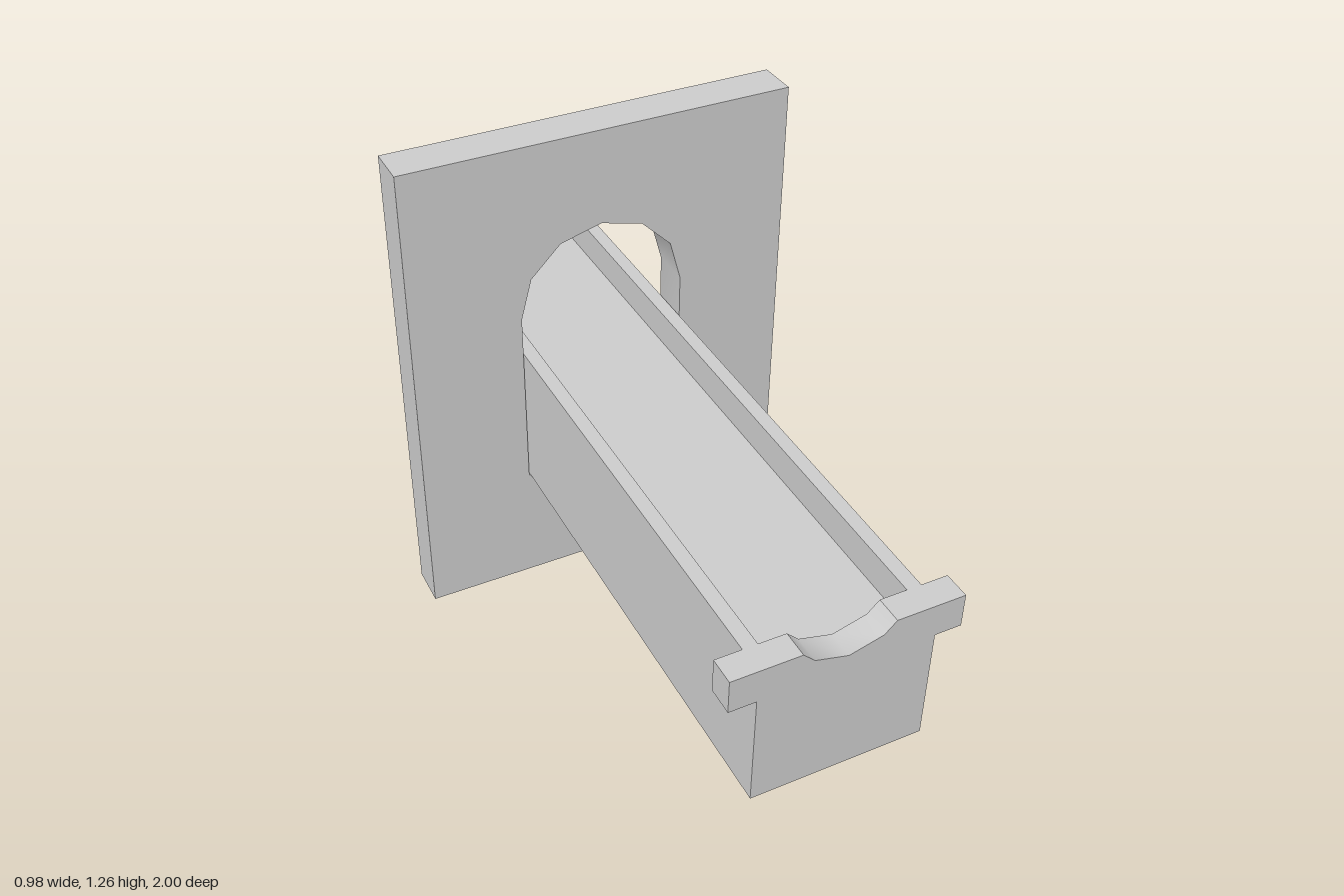
import * as THREE from 'three';
import { toCreasedNormals } from 'three/addons/utils/BufferGeometryUtils.js';

const material = new THREE.MeshStandardMaterial({ color: 0xcccccc, side: THREE.DoubleSide });

const HALF = 0.208, INNER = 0.173;            // channel half widths
const BOTTOM = 0.32, TRAY = 0.61, TOP = 0.695; // channel heights
const BACK = -1, LIP = 0.935, FRONT = 1;       // channel depths

function add(group, name, geometry) {
  const mesh = new THREE.Mesh(geometry, material);
  mesh.name = name;
  group.add(mesh);
}

// Extrude a front-facing shape between two depths
function slab(shape, z0, z1) {
  const geometry = new THREE.ExtrudeGeometry(shape, { depth: z1 - z0, bevelEnabled: false });
  return toCreasedNormals(geometry.translate(0, 0, z0), 0.7);
}

// Sweep an open x,y path along z into flat sheets
function sheets(path, z0, z1) {
  const positions = [];
  for (let i = 0; i < path.length - 1; i++) {
    const [a, b] = [path[i], path[i + 1]];
    positions.push(...a, z0, ...b, z0, ...b, z1, ...a, z0, ...b, z1, ...a, z1);
  }
  const geometry = new THREE.BufferGeometry();
  geometry.setAttribute('position', new THREE.Float32BufferAttribute(positions, 3));
  geometry.computeVertexNormals();
  return geometry;
}

const toShape = (points) => new THREE.Shape(points.map(([x, y]) => new THREE.Vector2(x, y)));

export function createModel() {
  const model = new THREE.Group();
  model.name = 'channelThroughWall';

  // Wall with an arched opening
  const wall = toShape([[-0.492, 0], [0.492, 0], [0.492, 1.26], [-0.492, 1.26]]);
  const radius = 0.212, springY = 0.803;
  const arch = [[-radius, BOTTOM], [radius, BOTTOM]];
  for (let i = 0; i <= 6; i++) {
    const angle = (i / 6) * Math.PI;
    arch.push([radius * Math.cos(angle), springY + radius * Math.sin(angle)]);
  }
  wall.holes.push(toShape(arch.reverse()));
  add(model, 'archedWall', slab(wall, -0.255, -0.15));

  // Hollow channel, open at the back
  add(model, 'channelShell', sheets(
    [[-HALF, TOP], [-HALF, BOTTOM], [HALF, BOTTOM], [HALF, TOP]], BACK, FRONT));

  // Rims and sunken tray on top of the channel
  add(model, 'rimsAndTray', sheets(
    [[HALF, TOP], [INNER, TOP], [INNER, TRAY], [-INNER, TRAY], [-INNER, TOP], [-HALF, TOP]],
    BACK, LIP));

  // Panel closing the front
  const panel = new THREE.PlaneGeometry(2 * HALF, TRAY - BOTTOM);
  add(model, 'frontPanel', panel.translate(0, (TRAY + BOTTOM) / 2, FRONT));

  // Front lip with side lugs and a dipped notch
  const lip = toShape([
    [-0.272, TRAY], [0.272, TRAY], [0.272, TOP], [0.108, TOP], [0.08, 0.667],
    [0, 0.645], [-0.08, 0.667], [-0.108, TOP], [-0.272, TOP],
  ]);
  add(model, 'notchedLip', slab(lip, LIP, FRONT));

  return model;
}
